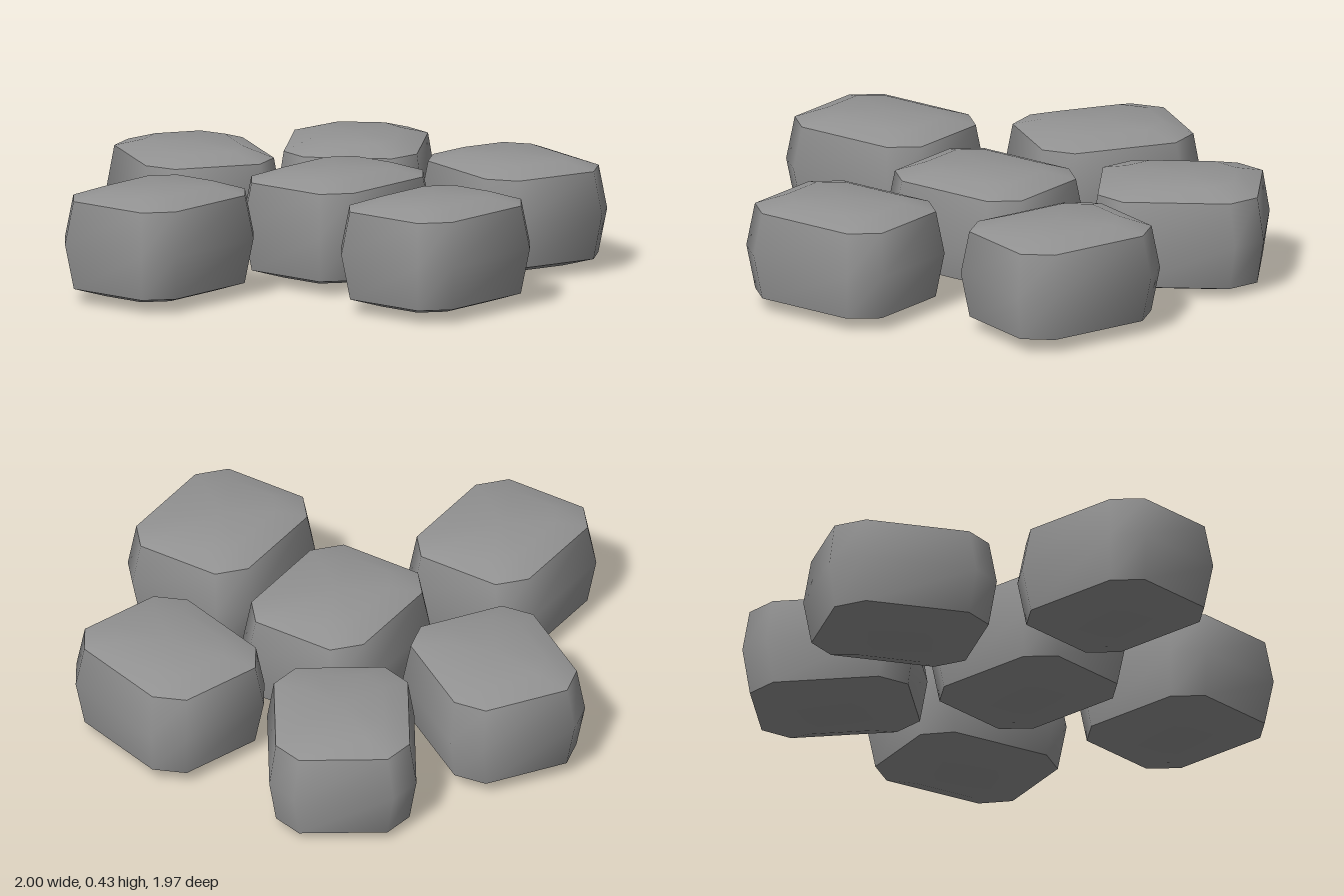
import * as THREE from 'three';
import { toCreasedNormals } from 'three/addons/utils/BufferGeometryUtils.js';

// Eight-sided outline of a stone, shrunk evenly by an inset
function outline(inset, y) {
  const w = 0.281 - inset, l = 0.331 - inset;
  const cx = 0.09 - inset * 0.15, cz = 0.105 - inset * 0.15;
  return [
    [w, l - cz], [w, cz - l], [w - cx, -l], [cx - w, -l],
    [-w, cz - l], [-w, l - cz], [cx - w, l], [w - cx, l],
  ].map(([x, z]) => [x, y, z]);
}

// Bulging block with bevelled corners and softly domed top and bottom
function stoneGeometry() {
  // [inset, height] from bottom to top
  const rings = [
    [0.12, 0.009], [0.026, 0.041], [0, 0.215], [0.025, 0.382], [0.12, 0.417],
  ].map(([inset, y]) => outline(inset, y));
  const n = 8;
  const vertices = rings.flat(2);
  const index = [];
  for (let r = 0; r < rings.length - 1; r++) {
    for (let i = 0; i < n; i++) {
      const j = (i + 1) % n;
      const a = r * n + i, b = r * n + j, c = a + n, d = b + n;
      index.push(a, b, d, a, d, c);
    }
  }
  // Caps close on a centre point
  const bottom = vertices.length / 3, top = bottom + 1;
  vertices.push(0, 0.005, 0, 0, 0.421, 0);
  const last = (rings.length - 1) * n;
  for (let i = 0; i < n; i++) {
    const j = (i + 1) % n;
    index.push(bottom, j, i, top, last + i, last + j);
  }
  const geometry = new THREE.BufferGeometry();
  geometry.setAttribute('position', new THREE.Float32BufferAttribute(vertices, 3));
  geometry.setIndex(index);
  // Sides stay smooth, rims stay sharp
  return toCreasedNormals(geometry, 0.95);
}

export function createModel() {
  const group = new THREE.Group();
  group.name = 'steppingStones';
  const geometry = stoneGeometry();
  const material = new THREE.MeshStandardMaterial({ color: 0x939393 });

  // [name, x, y, z, turn]
  const stones = [
    ['backStone', -0.008, 0, -0.655, 0],
    ['backRightStone', -0.595, 0.018, -0.325, 0.4],
    ['backLeftStone', 0.64, 0.018, -0.235, 0.67],
    ['centreStone', -0.003, 0.018, 0.09, -0.6],
    ['frontRightStone', -0.643, 0.018, 0.511, -0.6],
    ['frontLeftStone', 0.427, 0.018, 0.6, -0.6],
  ];
  for (const [name, x, y, z, turn] of stones) {
    const stone = new THREE.Mesh(geometry, material);
    stone.name = name;
    stone.position.set(x, y, z);
    stone.rotation.y = turn;
    group.add(stone);
  }
  return group;
}
